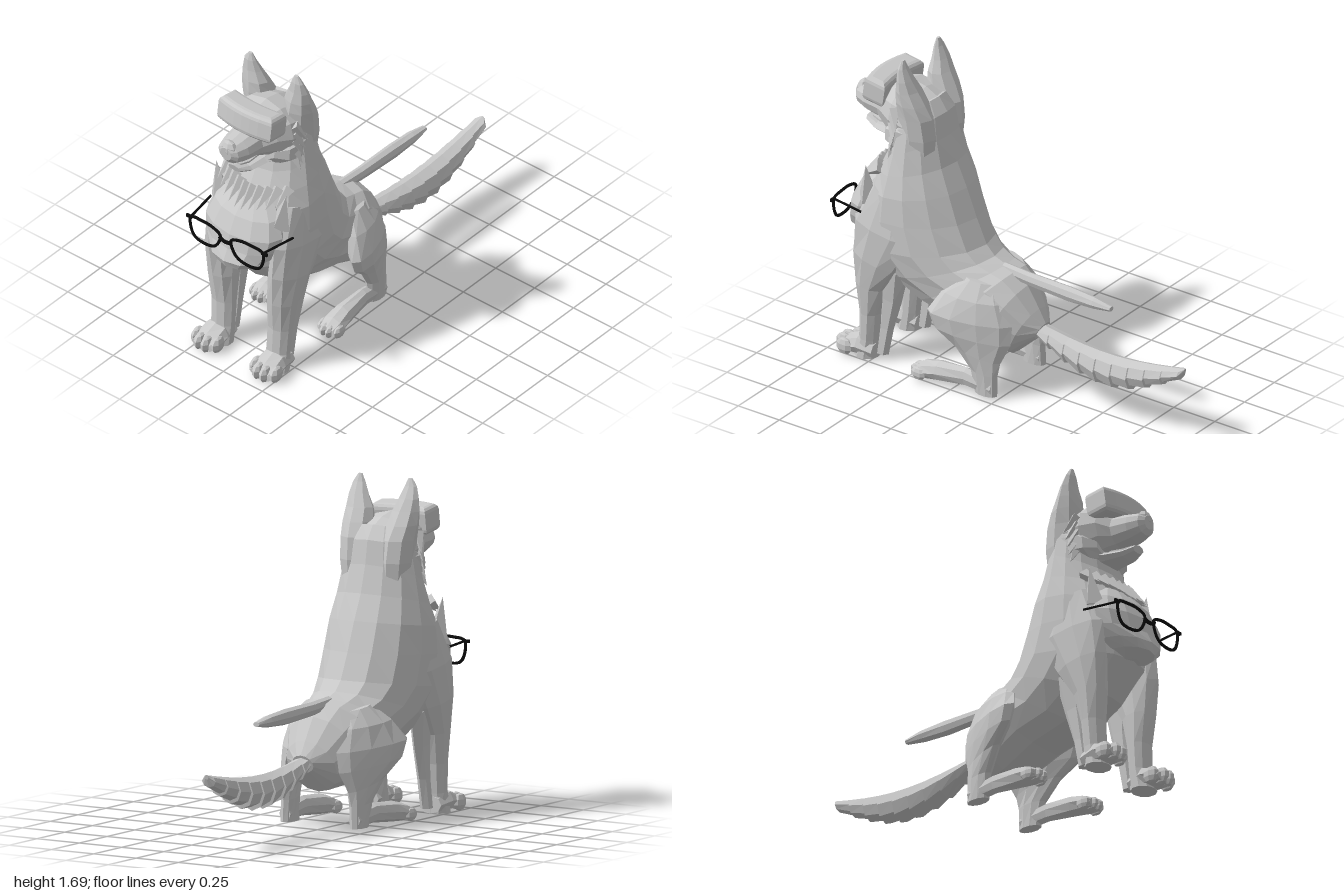
import * as THREE from 'three';

export function createModel() {
  const root = new THREE.Group();
  root.name = 'sittingDog';
  const grey = new THREE.MeshStandardMaterial({ color: 0xc8c8c8 });
  grey.name = 'grey';
  const black = new THREE.MeshStandardMaterial({ color: 0x0a0a0a });
  black.name = 'black';

  const add = (name, geo, mat = grey) => {
    const mesh = new THREE.Mesh(geo, mat);
    mesh.name = name;
    root.add(mesh);
    return mesh;
  };
  const facet = (geo) => {
    const g = geo.index ? geo.toNonIndexed() : geo;
    g.computeVertexNormals();
    return g;
  };

  // Faceted skin over rings; each ring is [zA, yA, zB, yB, xA, halfWidth, xB]
  function loft(rings, n = 10) {
    const pts = [], tris = [];
    for (const [za, ya, zb, yb, xa, hw, xb = xa] of rings) {
      for (let i = 0; i < n; i++) {
        const a = (i / n) * Math.PI * 2, c = Math.cos(a) / 2;
        pts.push(new THREE.Vector3(
          (xa + xb) / 2 + c * (xa - xb) + Math.sin(a) * hw, (ya + yb) / 2 + c * (ya - yb), (za + zb) / 2 + c * (za - zb)));
      }
    }
    for (let r = 0; r < rings.length - 1; r++) {
      for (let i = 0; i < n; i++) {
        const a = r * n + i, b = r * n + (i + 1) % n;
        tris.push([a, b, a + n], [b, b + n, a + n]);
      }
    }
    const last = (rings.length - 1) * n;
    for (let i = 1; i < n - 1; i++) tris.push([0, i + 1, i], [last, last + i, last + i + 1]);
    // Turn the skin outward when its signed volume is negative
    const cross = new THREE.Vector3();
    let vol = 0;
    for (const [a, b, c] of tris) vol += pts[a].dot(cross.crossVectors(pts[b], pts[c]));
    const pos = [];
    for (const t of tris) {
      for (const k of vol < 0 ? [t[0], t[2], t[1]] : t) pos.push(pts[k].x, pts[k].y, pts[k].z);
    }
    const g = new THREE.BufferGeometry();
    g.setAttribute('position', new THREE.Float32BufferAttribute(pos, 3));
    g.computeVertexNormals();
    return g;
  }

  // Pointed fur tuft from a base point to a tip
  function tuft(name, base, tip, r) {
    const a = new THREE.Vector3(...base), b = new THREE.Vector3(...tip);
    const m = add(name, facet(new THREE.ConeGeometry(r, a.distanceTo(b), 4)));
    m.position.lerpVectors(a, b, 0.5);
    m.quaternion.setFromUnitVectors(new THREE.Vector3(0, 1, 0), b.sub(a).normalize());
  }
  function blob(name, x, y, z, sx, sy, sz) {
    const m = add(name, facet(new THREE.SphereGeometry(1, 7, 5)));
    m.position.set(x, y, z);
    m.scale.set(sx, sy, sz);
  }

  // Neck, chest, belly and rump
  add('torso', loft([
    [0.50, 1.46, 0.66, 1.40, 0, 0.15],
    [0.45, 1.39, 0.72, 1.27, 0, 0.195],
    [0.43, 1.27, 0.75, 1.13, 0, 0.22],
    [0.39, 1.13, 0.80, 1.03, 0, 0.245],
    [0.33, 1.00, 0.86, 0.93, 0, 0.27],
    [0.27, 0.85, 0.91, 0.80, 0, 0.28],
    [0.21, 0.72, 0.89, 0.62, 0, 0.28],
    [0.16, 0.67, 0.75, 0.46, 0, 0.26],
    [0.09, 0.645, 0.57, 0.35, 0, 0.235],
    [0.03, 0.63, 0.34, 0.29, 0, 0.23],
    [-0.04, 0.57, 0.14, 0.20, 0, 0.205],
    [-0.11, 0.46, 0.01, 0.19, 0, 0.145],
    [-0.15, 0.39, -0.11, 0.30, 0, 0.06],
  ], 14));

  // Bulging breast with a low blunt front
  add('breast', loft([
    [0.70, 1.02, 0.84, 1.00, 0, 0.12],
    [0.70, 0.94, 0.91, 0.92, 0, 0.20],
    [0.70, 0.85, 0.955, 0.83, 0, 0.235],
    [0.70, 0.77, 0.97, 0.75, 0, 0.22],
    [0.70, 0.70, 1.00, 0.69, 0, 0.18],
    [0.72, 0.65, 0.985, 0.65, 0, 0.13],
    [0.76, 0.61, 0.91, 0.62, 0, 0.06],
  ], 12));

  // Head, cheeks and open jaw
  add('head', loft([
    [0.50, 1.45, 0.52, 1.22, 0, 0.15],
    [0.58, 1.49, 0.60, 1.18, 0, 0.19],
    [0.67, 1.51, 0.69, 1.19, 0, 0.185],
    [0.75, 1.49, 0.76, 1.23, 0, 0.145],
    [0.81, 1.425, 0.81, 1.25, 0, 0.098],
    [0.90, 1.41, 0.90, 1.265, 0, 0.085],
    [0.96, 1.40, 0.96, 1.285, 0, 0.065],
    [0.985, 1.385, 0.98, 1.31, 0, 0.035],
  ], 12));
  add('cheeks', loft([
    [0.52, 1.40, 0.55, 1.12, 0, 0.20],
    [0.62, 1.40, 0.65, 1.13, 0, 0.21],
    [0.69, 1.36, 0.71, 1.16, 0, 0.185],
    [0.74, 1.31, 0.75, 1.20, 0, 0.12],
  ], 10));
  add('lowerJaw', loft([
    [0.66, 1.27, 0.66, 1.16, 0, 0.12],
    [0.76, 1.235, 0.76, 1.175, 0, 0.085],
    [0.85, 1.225, 0.85, 1.18, 0, 0.065],
    [0.92, 1.24, 0.91, 1.20, 0, 0.04],
  ], 8));
  add('tongue', loft([
    [0.74, 1.25, 0.74, 1.23, 0, 0.045],
    [0.84, 1.24, 0.84, 1.22, 0, 0.038],
    [0.89, 1.245, 0.89, 1.23, 0, 0.022],
  ], 6));
  blob('nose', 0, 1.37, 0.955, 0.05, 0.045, 0.033);

  // Curved headset over the eyes
  const visor = new THREE.Shape();
  visor.moveTo(-0.14, -0.05);
  visor.quadraticCurveTo(0, -0.02, 0.14, -0.05);
  visor.lineTo(0.14, 0.015);
  visor.quadraticCurveTo(0, 0.055, -0.14, 0.015);
  const visorGeo = new THREE.ExtrudeGeometry(visor, {
    depth: 0.08, bevelThickness: 0.03, bevelSize: 0.03, bevelSegments: 3, curveSegments: 6 });
  visorGeo.rotateX(Math.PI / 2).translate(0, 0.04, 0);
  const headset = add('headset', visorGeo);
  headset.position.set(0, 1.466, 0.8);
  headset.rotation.x = -0.15;

  // Long tail with stepped, overlapping fur
  const tail = [];
  const tailAt = (t) => {
    const bulge = Math.sin(Math.PI * t);
    return [-0.1 - 0.88 * t, 0.385 - 0.05 * bulge + 0.015 * t, 0.065 + 0.105 * bulge - 0.01 * t, 0.05 + 0.026 * bulge - 0.012 * t * t];
  };
  for (let i = 0; i < 9; i++) {
    for (const [t, flare] of [[i / 9, 0.93], [(i + 0.96) / 9, 1.06]]) {
      const [z, top, depth, w] = tailAt(t);
      tail.push([z, top, z - 0.01 * (1 - t), top - depth * flare, 0, w * flare]);
    }
  }
  tail.push([-1, 0.405, -0.995, 0.38, 0, 0.012]);
  add('tail', loft(tail, 8));

  // Straight spur projecting back from the rump
  add('backSpur', loft([
    [0.10, 0.655, 0.10, 0.59, 0, 0.028],
    [-0.05, 0.645, -0.05, 0.575, 0, 0.03],
    [-0.30, 0.642, -0.30, 0.562, 0, 0.034],
    [-0.45, 0.63, -0.45, 0.57, 0, 0.032],
    [-0.55, 0.61, -0.55, 0.585, 0, 0.018],
  ], 8));

  for (const s of [-1, 1]) {
    const side = s > 0 ? 'left' : 'right';
    const mirrored = (rings) => rings.map(([a, b, c, d, x, w, x2 = x]) => [a, b, c, d, x * s, w, x2 * s]);

    // Upright ear running down into the back of the neck
    add(side + 'Ear', loft(mirrored([
      [0.62, 1.14, 0.45, 1.14, 0.11, 0.07],
      [0.64, 1.28, 0.44, 1.28, 0.115, 0.085],
      [0.65, 1.39, 0.455, 1.39, 0.12, 0.086],
      [0.65, 1.47, 0.49, 1.46, 0.13, 0.084],
      [0.645, 1.53, 0.53, 1.53, 0.136, 0.077],
      [0.635, 1.59, 0.56, 1.59, 0.148, 0.058],
      [0.63, 1.65, 0.59, 1.65, 0.152, 0.036],
      [0.62, 1.69, 0.605, 1.69, 0.148, 0.012],
    ]), 8));

    // Front leg with a slanting strip of fur behind it
    add(side + 'FrontLeg', loft(mirrored([
      [0.76, 0.98, 0.50, 0.92, 0.19, 0.06],
      [0.86, 0.78, 0.46, 0.72, 0.21, 0.075],
      [0.87, 0.60, 0.58, 0.54, 0.203, 0.082],
      [0.855, 0.42, 0.68, 0.40, 0.19, 0.078],
      [0.835, 0.25, 0.72, 0.25, 0.181, 0.07],
      [0.84, 0.11, 0.735, 0.10, 0.178, 0.067],
      [0.87, 0.0, 0.74, 0.0, 0.18, 0.07],
    ])));
    add(side + 'LegFur', loft(mirrored([
      [0.74, 0.56, 0.55, 0.52, 0.19, 0.05],
      [0.72, 0.36, 0.60, 0.34, 0.18, 0.035],
      [0.73, 0.18, 0.65, 0.18, 0.175, 0.03],
      [0.75, 0.03, 0.68, 0.03, 0.175, 0.03],
    ]), 6));
    add(side + 'FrontPaw', loft(mirrored([
      [0.74, 0.09, 0.74, 0.0, 0.185, 0.06],
      [0.83, 0.12, 0.83, 0.0, 0.185, 0.075],
      [0.90, 0.09, 0.90, 0.005, 0.187, 0.08],
      [0.94, 0.06, 0.94, 0.01, 0.187, 0.07],
    ]), 8));

    // Haunch flaring out toward the knee, shank and hind paw
    add(side + 'HindLeg', loft(mirrored([
      [0.24, 0.62, 0.06, 0.59, 0.14, 0.06, 0.10],
      [0.31, 0.54, 0.00, 0.51, 0.225, 0.065, 0.14],
      [0.36, 0.44, -0.05, 0.40, 0.292, 0.068, 0.145],
      [0.33, 0.36, -0.05, 0.30, 0.285, 0.06, 0.16],
      [0.23, 0.27, -0.01, 0.20, 0.245, 0.045, 0.19],
      [0.15, 0.15, 0.0, 0.13, 0.215, 0.04, 0.2],
      [0.13, 0.02, 0.0, 0.02, 0.205, 0.036],
    ])));
    add(side + 'HindPaw', loft(mirrored([
      [0.02, 0.10, 0.02, 0.02, 0.205, 0.033],
      [0.18, 0.13, 0.18, 0.03, 0.21, 0.035],
      [0.34, 0.12, 0.34, 0.015, 0.215, 0.055],
      [0.42, 0.10, 0.42, 0.01, 0.22, 0.065],
      [0.47, 0.07, 0.47, 0.015, 0.22, 0.055],
    ]), 8));
    for (let i = 0; i < 4; i++) {
      const k = i - 1.5, mid = Math.abs(k) < 1;
      blob(side + 'FrontToe', s * (0.188 + k * 0.043), 0.045, mid ? 0.925 : 0.895, 0.025, 0.045, 0.048);
      blob(side + 'HindToe', s * (0.22 + k * 0.034), 0.045, mid ? 0.455 : 0.43, 0.02, 0.034, 0.045);
    }

    // Cheek fur, shoulder tufts and the ragged edge of the ruff
    for (let i = 0; i < 5; i++) {
      const y = 1.37 - i * 0.042;
      tuft(side + 'CheekFur', [s * 0.16, y + 0.04, 0.655], [s * 0.215, y - 0.05, 0.61 + i * 0.012], 0.036);
    }
    tuft(side + 'ShoulderTuft', [s * 0.19, 0.88, 0.79], [s * 0.225, 1.08, 0.785], 0.06);
    for (let i = 0; i < 5; i++) {
      const x = s * (0.02 + i * 0.042), z = 0.88 - x * x * 2;
      tuft(side + 'RuffFur', [x, 1.05 + i * 0.005, z - 0.09], [x, 0.955 + i * 0.012, z + 0.015], 0.035);
    }

    // Glasses: rim and arm
    const rim = [[0.035, 0.825], [0.09, 0.848], [0.16, 0.85], [0.23, 0.838], [0.232, 0.78], [0.205, 0.73], [0.14, 0.718], [0.075, 0.735], [0.042, 0.78]]
      .map(([x, y]) => new THREE.Vector3(s * x, y, 0.985 - x * 0.05));
    add(side + 'GlassesRim', new THREE.TubeGeometry(new THREE.CatmullRomCurve3(rim, true), 40, 0.008, 6, true), black);
    const arm = new THREE.LineCurve3(new THREE.Vector3(s * 0.232, 0.836, 0.973), new THREE.Vector3(s * 0.265, 0.835, 0.78));
    add(side + 'GlassesArm', new THREE.TubeGeometry(arm, 1, 0.0065, 6), black);
    const hinge = add(side + 'GlassesHinge', new THREE.BoxGeometry(0.035, 0.016, 0.012), black);
    hinge.position.set(s * 0.241, 0.836, 0.973);
  }

  // Bridge between the rims
  const bridge = new THREE.QuadraticBezierCurve3(
    new THREE.Vector3(-0.04, 0.815, 0.983), new THREE.Vector3(0, 0.785, 0.987), new THREE.Vector3(0.04, 0.815, 0.983));
  add('glassesBridge', new THREE.TubeGeometry(bridge, 8, 0.01, 6), black);

  return root;
}
